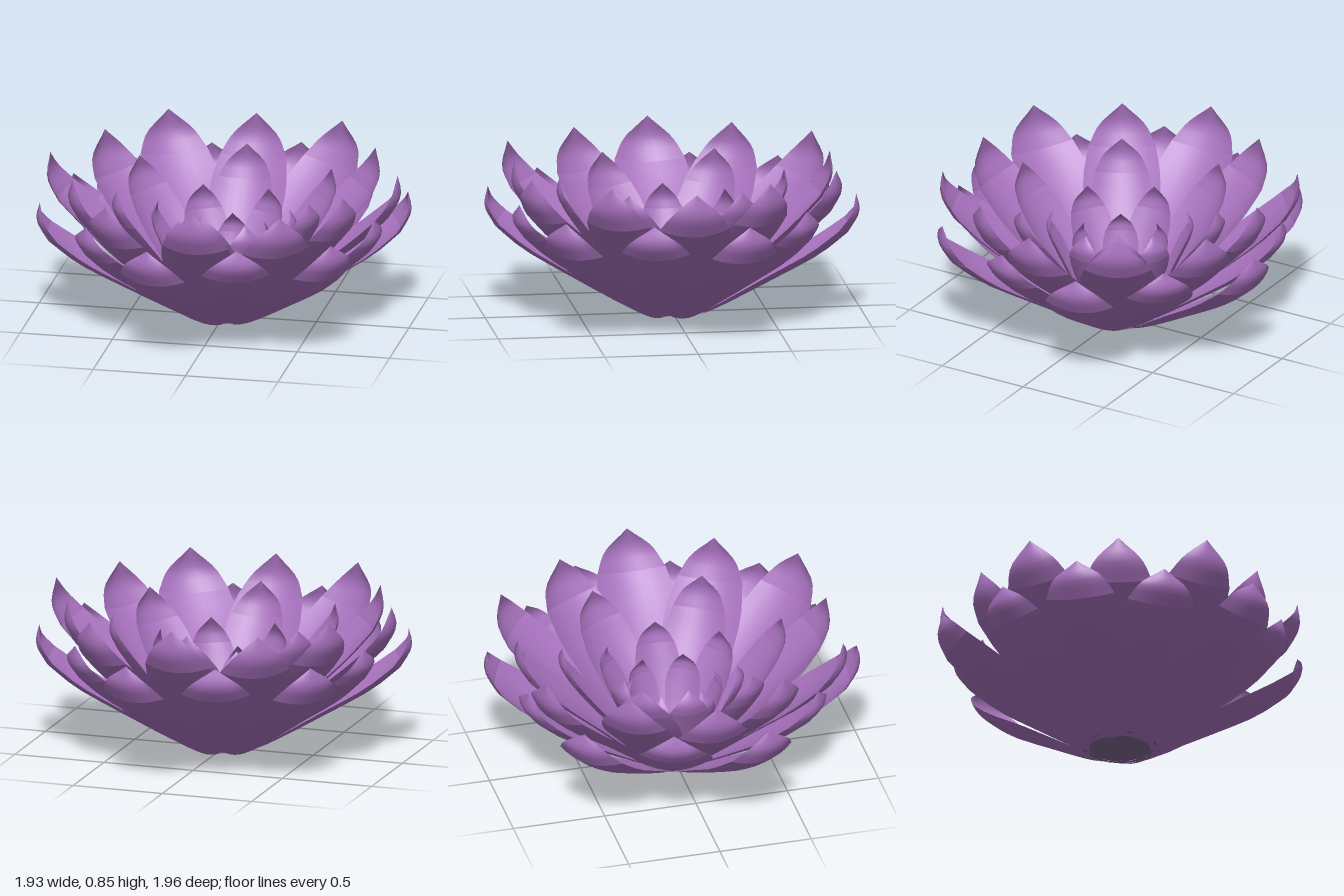
import * as THREE from 'three';
import { mergeGeometries } from 'three/addons/utils/BufferGeometryUtils.js';

const COLS = 8;
const CUP = 0.28; // how far the edges rise, relative to half-width

// Sheet swept along a profile of (radius, height, half-width), cupped toward the centre
function sheet(curve, rows, bend) {
  const pos = [], uv = [], index = [];
  for (let i = 0; i <= rows; i++) {
    const s = i / rows;
    const p = curve.getPoint(s);
    const w = Math.max(p.z, 0);
    const [nx, ny] = bend(s);
    for (let j = 0; j <= COLS; j++) {
      const u = (j / COLS) * 2 - 1;
      const lift = CUP * w * u * u;
      pos.push(p.x + nx * lift, p.y + ny * lift, u * w);
      uv.push(j / COLS, s);
    }
  }
  const n = COLS + 1;
  for (let i = 0; i < rows; i++) {
    for (let j = 0; j < COLS; j++) {
      const a = i * n + j;
      index.push(a, a + 1, a + n, a + 1, a + n + 1, a + n);
    }
  }
  const g = new THREE.BufferGeometry();
  g.setAttribute('position', new THREE.Float32BufferAttribute(pos, 3));
  g.setAttribute('uv', new THREE.Float32BufferAttribute(uv, 2));
  g.setIndex(index);
  g.computeVertexNormals();
  return g;
}

// Petal pointing along +x: a long body, a crease, then a pointed upright cap
function petalGeometry(line, width) {
  const bodyW = [0.46, 0.5, 0.9, 1, 0.87];
  const capW = [0.87, 0.6, 0];
  const toCurve = (pts, ws) =>
    new THREE.CatmullRomCurve3(pts.map(([r, y], i) => new THREE.Vector3(r, y, ws[i] * width)));
  const body = toCurve(line.slice(0, 5), bodyW);
  const cap = toCurve(line.slice(4), capW);
  const normal = (a, b) => {
    const v = new THREE.Vector2(b[0] - a[0], b[1] - a[1]).normalize();
    return [-v.y, v.x];
  };
  const low = normal(line[0], line[3]);
  const crease = normal(line[3], line[5]);
  const high = normal(line[4], line[6]);
  const blend = (a, b) => (s) => [a[0] + (b[0] - a[0]) * s, a[1] + (b[1] - a[1]) * s];
  return mergeGeometries([
    sheet(body, 10, blend(low, crease)),
    sheet(cap, 7, blend(crease, high)),
  ]);
}

export function createModel() {
  const model = new THREE.Group();
  const petalPurple = new THREE.MeshStandardMaterial({ color: 0xa872be, side: THREE.DoubleSide });
  petalPurple.name = 'petalPurple';
  const baseMauve = new THREE.MeshStandardMaterial({ color: 0x7f6a8e, side: THREE.DoubleSide });
  baseMauve.name = 'baseMauve';

  // Rings of six petals: start angle in degrees, half-width, centre line as [radius, height]
  const rings = [
    { name: 'outerLowPetal', start: 43, width: 0.215,
      line: [[0.17, 0], [0.24, 0.03], [0.55, 0.2], [0.8, 0.345], [0.94, 0.46], [0.995, 0.56], [0.98, 0.665]] },
    { name: 'innerLowPetal', start: 14, width: 0.21,
      line: [[0.16, 0.01], [0.22, 0.04], [0.49, 0.21], [0.71, 0.355], [0.84, 0.47], [0.9, 0.56], [0.885, 0.665]] },
    { name: 'outerTallPetal', start: 0, width: 0.215,
      line: [[0.16, 0.01], [0.22, 0.05], [0.5, 0.28], [0.75, 0.475], [0.89, 0.61], [0.95, 0.72], [0.94, 0.85]] },
    { name: 'innerTallPetal', start: 30, width: 0.205,
      line: [[0.15, 0.02], [0.2, 0.05], [0.45, 0.28], [0.67, 0.475], [0.8, 0.61], [0.855, 0.72], [0.845, 0.85]] },
    { name: 'middlePetal', start: 30, width: 0.165,
      line: [[0.15, 0.02], [0.19, 0.06], [0.36, 0.28], [0.5, 0.46], [0.575, 0.57], [0.615, 0.66], [0.6, 0.76]] },
    { name: 'smallPetal', start: 0, width: 0.12,
      line: [[0.14, 0.03], [0.17, 0.06], [0.27, 0.25], [0.34, 0.4], [0.375, 0.475], [0.39, 0.54], [0.355, 0.62]] },
    { name: 'heartPetal', start: 30, width: 0.095,
      line: [[0.12, 0.03], [0.14, 0.06], [0.2, 0.2], [0.245, 0.32], [0.265, 0.38], [0.27, 0.43], [0.22, 0.5]] },
  ];

  for (const { name, start, width, line } of rings) {
    const ring = new THREE.Group();
    ring.name = name + 'Ring';
    const geometry = petalGeometry(line, width);
    for (let i = 0; i < 6; i++) {
      const petal = new THREE.Mesh(geometry, petalPurple);
      petal.name = name;
      petal.rotation.y = -THREE.MathUtils.degToRad(start + i * 60);
      ring.add(petal);
    }
    model.add(ring);
  }

  // Flat disc closing the bottom
  const base = new THREE.Mesh(new THREE.CircleGeometry(0.2, 24), baseMauve);
  base.name = 'baseDisc';
  base.rotation.x = -Math.PI / 2;
  base.position.y = 0.02;
  model.add(base);

  return model;
}
